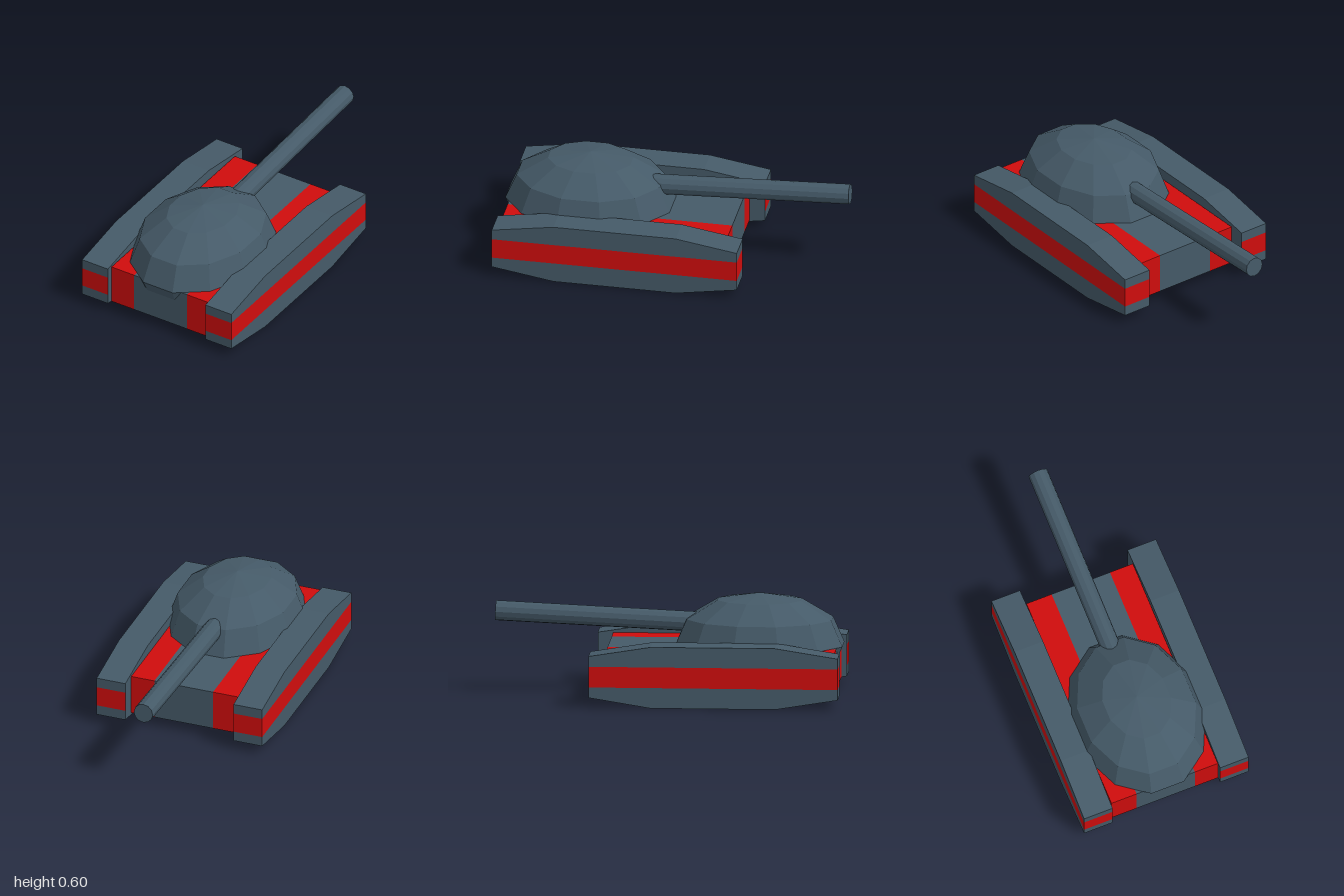
import * as THREE from 'three';

export function createModel() {
  const group = new THREE.Group();
  const grey = new THREE.MeshStandardMaterial({ color: 0x455a68, flatShading: true });
  grey.name = 'slate grey';
  const red = new THREE.MeshStandardMaterial({ color: 0xd00d0d, flatShading: true });
  red.name = 'stripe red';

  const add = (name, geometry, material) => {
    const mesh = new THREE.Mesh(geometry, material);
    mesh.name = name;
    group.add(mesh);
    return mesh;
  };
  // Box given by its limits on each axis
  const box = (name, [x0, x1], [y0, y1], [z0, z1], material) =>
    add(name, new THREE.BoxGeometry(x1 - x0, y1 - y0, z1 - z0), material)
      .position.set((x0 + x1) / 2, (y0 + y1) / 2, (z0 + z1) / 2);

  // Hull: grey centre with a red band each side, plain underneath
  const hullY = [0.06, 0.3], hullZ = [-0.343, 0.97];
  const bandFaces = [red, red, red, grey, red, red];
  box('hullCentre', [-0.172, 0.188], hullY, hullZ, grey);
  box('hullBandRight', [-0.327, -0.172], hullY, hullZ, bandFaces);
  box('hullBandLeft', [0.188, 0.33], hullY, hullZ, bandFaces);

  // Tracks: sloped grey upper and lower parts around a striped middle
  const front = 1, back = -0.432, inner = 0.332, outer = 0.508;
  const slab = (yMid, yEnd, yFlat) => {
    const shape = new THREE.Shape([
      [back, yMid], [front, yMid], [front, yEnd], [0.64, yFlat], [-0.075, yFlat], [back, yEnd],
    ].map(([z, y]) => new THREE.Vector2(z, y)));
    return new THREE.ExtrudeGeometry(shape, { depth: outer - inner, bevelEnabled: false })
      .rotateY(-Math.PI / 2);
  };
  for (const [side, s] of [['Left', 1], ['Right', -1]]) {
    const xMax = s > 0 ? outer : -inner;
    add('trackUpper' + side, slab(0.24, 0.3, 0.357), grey).position.x = xMax;
    add('trackLower' + side, slab(0.12, 0.06, 0.002), grey).position.x = xMax;
    const faces = s > 0 ? [red, grey, red, red, red, red] : [grey, red, red, red, red, red];
    box('trackStripe' + side, [xMax - (outer - inner), xMax], [0.12, 0.24], [back, front], faces);
  }

  // Turret: faceted ellipsoid sunk through the hull
  const turret = new THREE.SphereGeometry(1, 12, 6)
    .rotateY(Math.PI / 12).scale(0.386, 0.297, 0.497);
  add('turret', turret, grey).position.set(0.008, 0.3, 0.52);

  // Gun barrel, rising slightly to the back
  const start = new THREE.Vector3(0.006, 0.417, 0.3);
  const end = new THREE.Vector3(0.006, 0.477, -0.997);
  const axis = end.clone().sub(start);
  const barrel = add('barrel', new THREE.CylinderGeometry(0.058, 0.058, axis.length(), 12), grey);
  barrel.position.copy(start).add(end).multiplyScalar(0.5);
  barrel.quaternion.setFromUnitVectors(new THREE.Vector3(0, 1, 0), axis.normalize());

  return group;
}
